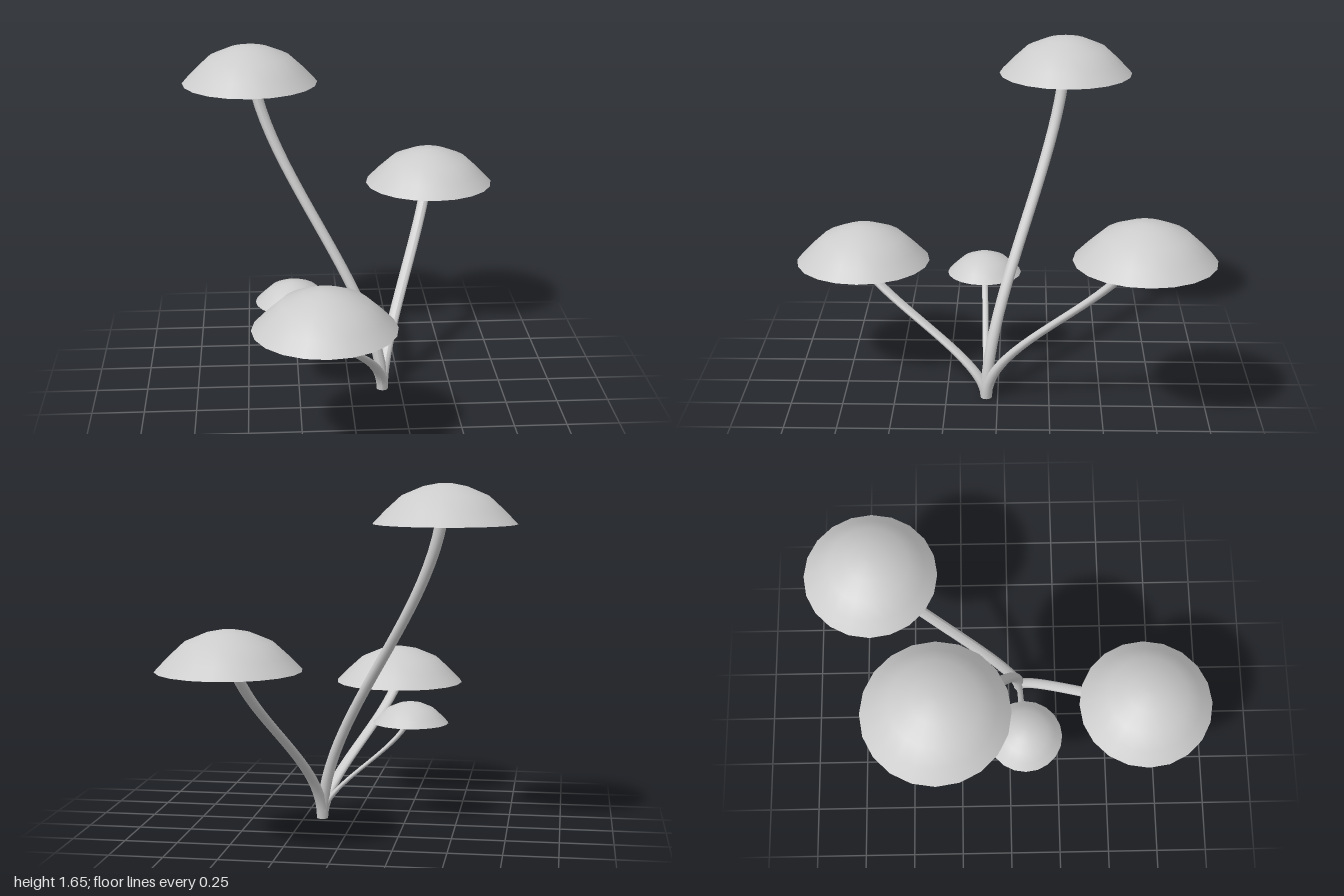
import * as THREE from 'three';

const material = new THREE.MeshStandardMaterial({ color: 0xcccccc, side: THREE.DoubleSide });
const base = new THREE.Vector3(0.161, 0, 0.056);

// Each mushroom: cap rim centre, cap scale, stem tip, stem radius
const mushrooms = [
  { name: 'tallMushroom', rim: [-0.464, 1.472, -0.325], scale: 1, tip: [-0.46, 1.62, -0.325], radius: 0.028 },
  { name: 'rearMushroom', rim: [0.457, 0.838, -0.672], scale: 1, tip: [0.455, 0.97, -0.67], radius: 0.028 },
  { name: 'frontMushroom', rim: [-0.148, 0.595, 0.672], scale: 1, tip: [-0.15, 0.675, 0.712], radius: 0.028 },
  { name: 'smallMushroom', rim: [-0.272, 0.487, 0.075], scale: 0.56, tip: [-0.273, 0.55, 0.073], radius: 0.015 },
];

// Cap profiles as [radius, height]: domed top with a sloping skirt, and a shallow hollow below
const topProfile = [[0.328, 0], [0.268, 0.062], [0.197, 0.127], [0.1, 0.168], [0.035, 0.181], [0, 0.182]];
const undersideProfile = [[0, 0.145], [0.03, 0.141], [0.18, 0.078], [0.328, 0]];

function makeTurned(name, profile, { rim, scale }) {
  const points = profile.map(([r, y]) => new THREE.Vector2(r * scale, y * scale));
  const mesh = new THREE.Mesh(new THREE.LatheGeometry(points, 20), material);
  mesh.name = name;
  mesh.position.set(...rim);
  return mesh;
}

// Upright cylinder whose level rings slide along an S-curve from the shared root to the tip
function makeStem({ tip: [x, height, z], radius }) {
  const geometry = new THREE.CylinderGeometry(radius, radius, height, 12, 24);
  geometry.translate(0, height / 2, 0);
  const position = geometry.attributes.position;
  for (let i = 0; i < position.count; i++) {
    const slide = THREE.MathUtils.smoothstep(position.getY(i), 0, height);
    position.setX(i, position.getX(i) + (x - base.x) * slide);
    position.setZ(i, position.getZ(i) + (z - base.z) * slide);
  }
  geometry.computeVertexNormals();
  const stem = new THREE.Mesh(geometry, material);
  stem.name = 'stem';
  stem.position.copy(base);
  return stem;
}

export function createModel() {
  const model = new THREE.Group();
  model.name = 'mushroomCluster';
  for (const spec of mushrooms) {
    const mushroom = new THREE.Group();
    mushroom.name = spec.name;
    mushroom.add(
      makeStem(spec),
      makeTurned('capTop', topProfile, spec),
      makeTurned('capUnderside', undersideProfile, spec),
    );
    model.add(mushroom);
  }
  return model;
}
